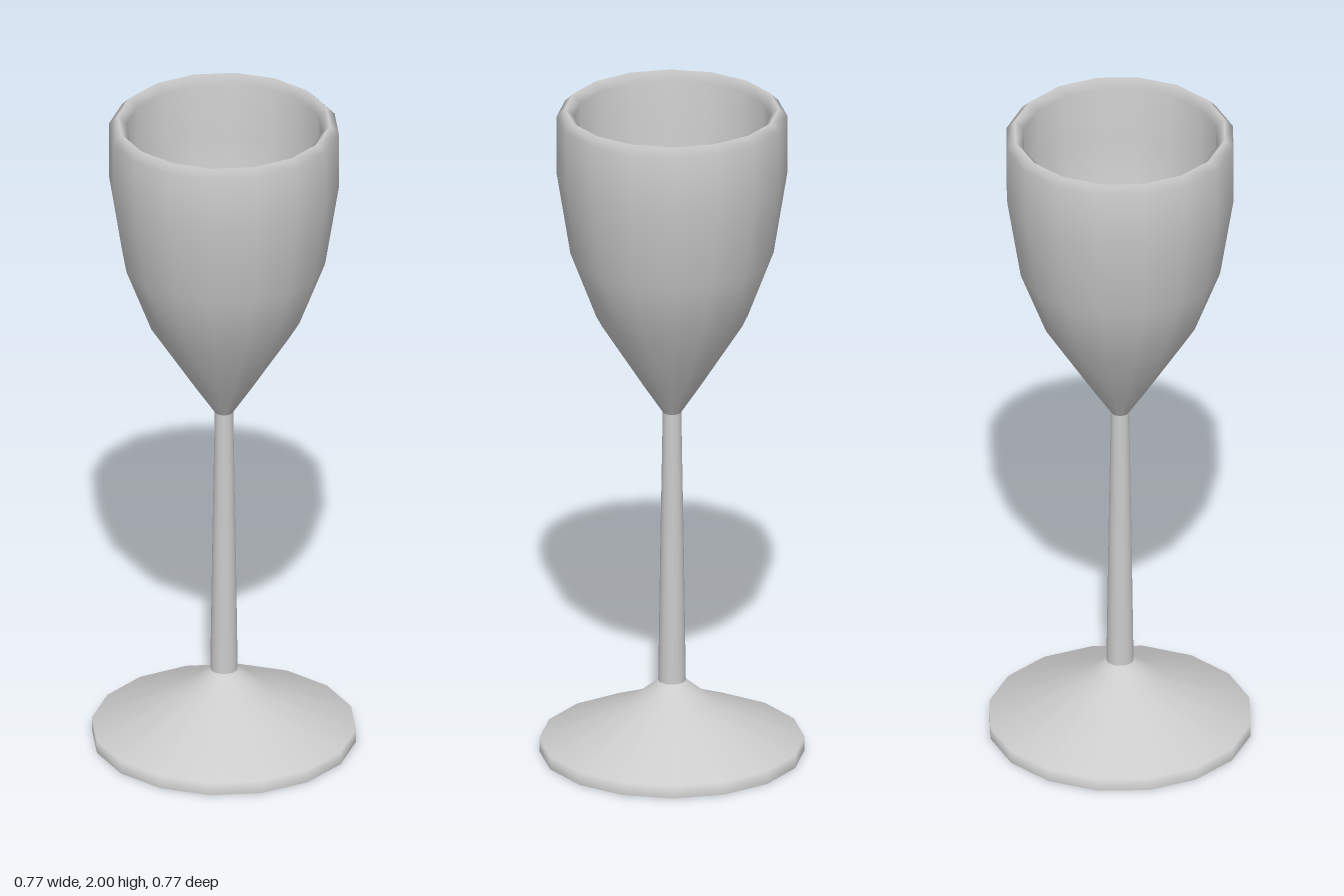
import * as THREE from 'three';

const SIDES = 16;

export function createModel() {
  const group = new THREE.Group();
  const material = new THREE.MeshStandardMaterial({ color: 0xcccccc });

  const add = (name, geometry) => {
    const mesh = new THREE.Mesh(geometry, material);
    mesh.name = name;
    group.add(mesh);
  };
  // Revolve a [radius, height] profile around the y axis
  const turn = (name, profile) =>
    add(name, new THREE.LatheGeometry(profile.map(([r, y]) => new THREE.Vector2(r, y)), SIDES));

  // Flat underside of the foot
  add('footUnderside', new THREE.CircleGeometry(0.385, SIDES).rotateX(Math.PI / 2));

  // Wide, shallow cone-shaped foot with a thin edge
  turn('foot', [[0.385, 0], [0.385, 0.04], [0.12, 0.155], [0.04, 0.22]]);

  // Slender tapering stem
  turn('stem', [[0.04, 0.22], [0.034, 0.64], [0.027, 1.055]]);

  // Bowl: outer wall, rounded rim, then inner wall down to the centre
  turn('bowl', [
    [0.027, 1.055], [0.09, 1.15], [0.22, 1.353], [0.295, 1.55], [0.335, 1.8], [0.335, 1.975],
    [0.31, 2],
    [0.285, 1.975], [0.285, 1.8], [0.25, 1.565], [0.175, 1.37], [0.06, 1.18], [0, 1.13],
  ]);

  return group;
}
